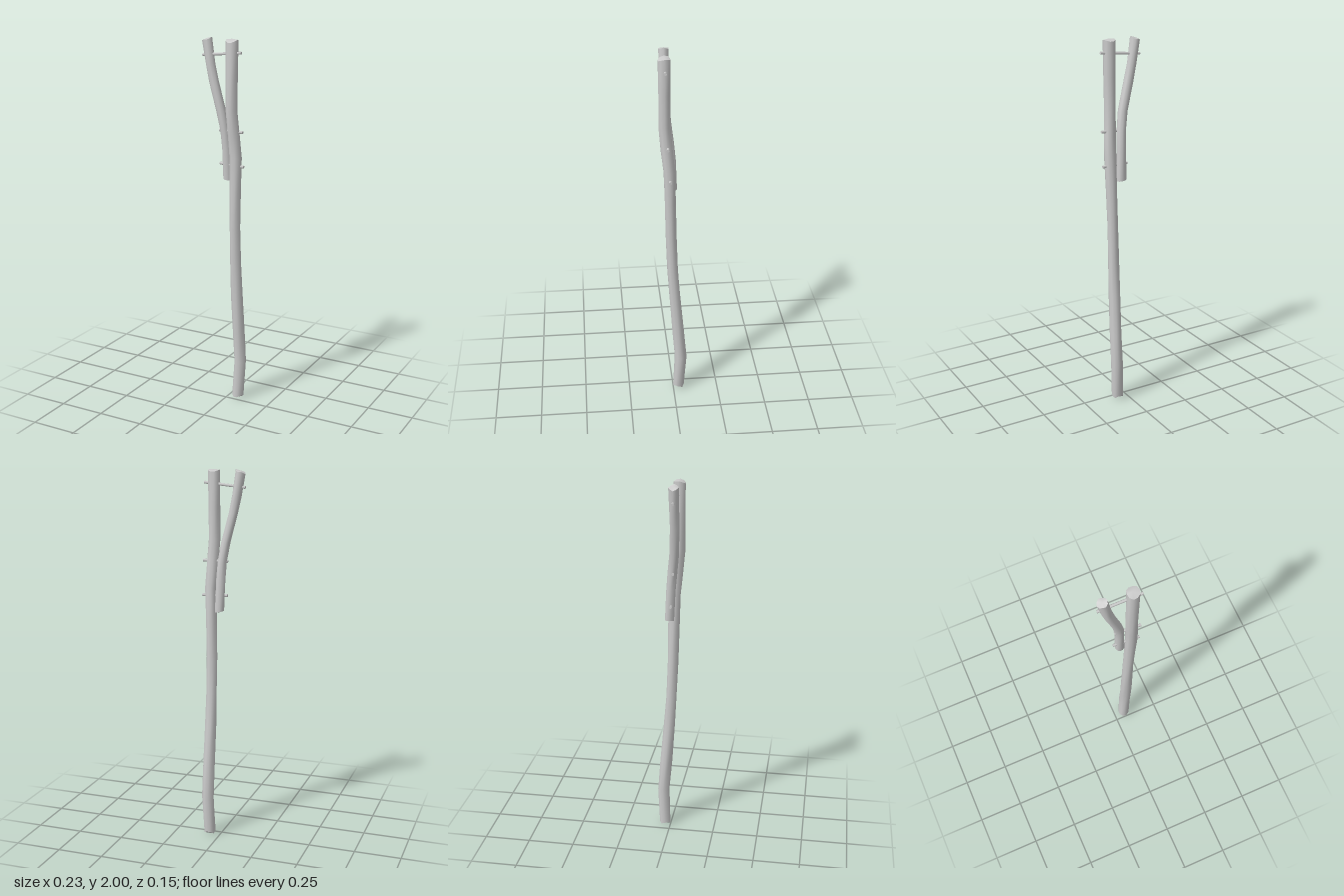
import * as THREE from 'three';

const material = new THREE.MeshStandardMaterial({ color: 0xcccccc, side: THREE.DoubleSide });

// Lofts a rough pole through stations [x, y, z, radius], with broken ends.
function pole(name, stations, sides, ends) {
  const pos = [], index = [];
  const last = stations.length - 1;
  const ring = ([x, y, z, r], i) => {
    for (let j = 0; j < sides; j++) {
      const a = (j / sides) * Math.PI * 2;
      const knobbly = r * (1 + 0.04 * Math.sin(j * 2.3 + i * 1.7));
      const end = i === 0 ? ends.bottom : i === last ? ends.top : null;
      pos.push(x + Math.cos(a) * knobbly, y + (end ? end.rim(a) : 0), z + Math.sin(a) * knobbly);
    }
  };
  stations.forEach(ring);
  for (let i = 0; i < last; i++) {
    for (let j = 0; j < sides; j++) {
      const a = i * sides + j, b = i * sides + (j + 1) % sides;
      index.push(a, a + sides, b, b, a + sides, b + sides);
    }
  }
  // End caps have their own vertices so that the rim stays sharp
  for (const [i, end] of [[0, ends.bottom], [last, ends.top]]) {
    const base = pos.length / 3;
    ring(stations[i], i);
    const [x, y, z] = stations[i];
    pos.push(x, y + end.centre, z);
    for (let j = 0; j < sides; j++) {
      const a = base + j, b = base + (j + 1) % sides, c = base + sides;
      if (i === 0) index.push(a, b, c);
      else index.push(b, a, c);
    }
  }
  const geometry = new THREE.BufferGeometry();
  geometry.setAttribute('position', new THREE.Float32BufferAttribute(pos, 3));
  geometry.setIndex(index);
  geometry.computeVertexNormals();
  const mesh = new THREE.Mesh(geometry, material);
  mesh.name = name;
  return mesh;
}

// A thin peg between two points
function peg(name, from, to) {
  const a = new THREE.Vector3(...from), b = new THREE.Vector3(...to);
  const mesh = new THREE.Mesh(new THREE.CylinderGeometry(0.008, 0.008, a.distanceTo(b), 6), material);
  mesh.position.copy(a).add(b).multiplyScalar(0.5);
  mesh.quaternion.setFromUnitVectors(new THREE.Vector3(0, 1, 0), b.sub(a).normalize());
  mesh.name = name;
  return mesh;
}

export function createModel() {
  const group = new THREE.Group();
  group.name = 'forkedPole';

  // Long, slightly crooked main pole
  group.add(pole('mainPole', [
    [0.058, 0.015, -0.031, 0.031],
    [0.067, 0.22, -0.041, 0.033],
    [0.066, 0.4, -0.026, 0.033],
    [0.062, 0.62, -0.008, 0.031],
    [0.06, 0.8, 0.004, 0.029],
    [0.06, 1.0, 0.012, 0.029],
    [0.064, 1.2, 0.016, 0.03],
    [0.068, 1.38, 0.021, 0.031],
    [0.063, 1.5, 0.034, 0.031],
    [0.056, 1.63, 0.045, 0.031],
    [0.057, 1.8, 0.045, 0.031],
    [0.058, 1.983, 0.045, 0.032],
  ], 10, {
    bottom: { rim: a => 0.006 * Math.sin(3 * a), centre: -0.015 },
    top: { rim: a => 0.006 * Math.cos(2 * a) - 0.003 * Math.sin(a), centre: 0.01 },
  }));

  // Shorter side branch leaning outwards
  group.add(pole('sideBranch', [
    [0.013, 1.257, 0.001, 0.025],
    [0.009, 1.42, 0.008, 0.025],
    [0.004, 1.52, 0.017, 0.025],
    [-0.012, 1.62, 0.029, 0.025],
    [-0.05, 1.77, 0.037, 0.025],
    [-0.069, 1.86, 0.037, 0.025],
    [-0.088, 1.983, 0.037, 0.026],
  ], 10, {
    bottom: { rim: a => -0.004 * Math.cos(a), centre: -0.005 },
    top: { rim: a => 0.009 * Math.cos(a) + 0.004 * Math.cos(3 * a), centre: 0.006 },
  }));

  // Pegs tying the branch to the pole
  group.add(peg('topPeg', [-0.115, 1.904, 0.035], [0.11, 1.924, 0.043]));
  group.add(peg('middlePeg', [-0.025, 1.52, 0.023], [0.114, 1.52, 0.031]));
  group.add(peg('lowerPeg', [-0.028, 1.342, 0.012], [0.114, 1.337, 0.019]));
  return group;
}
